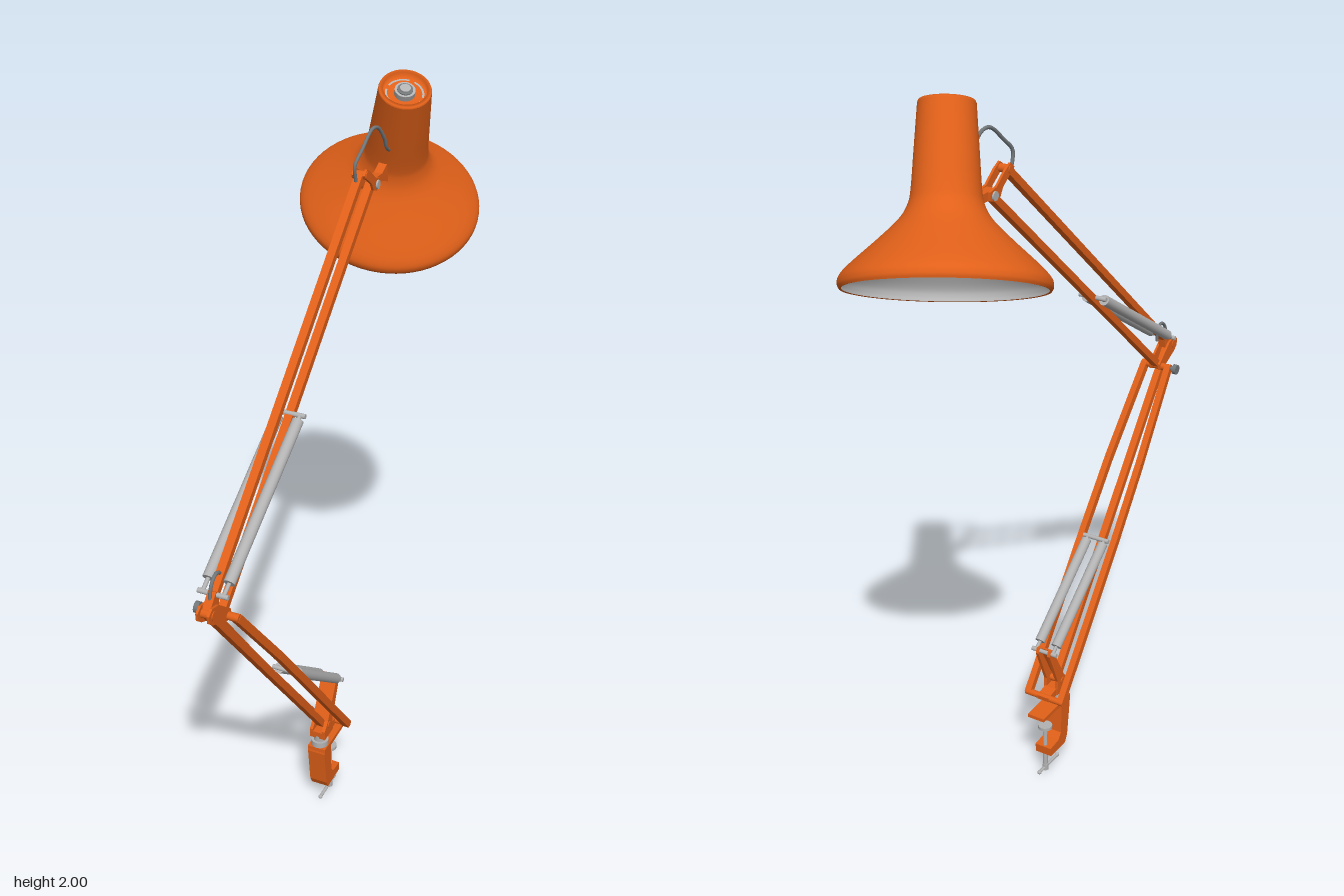
import * as THREE from 'three';

const CX = 0.039; // plane of the arm
const mat = (name, color, side = THREE.FrontSide) => {
  const m = new THREE.MeshStandardMaterial({ color, side });
  m.name = name;
  return m;
};
const V = (x, y, z) => new THREE.Vector3(CX + x, y, z);

export function createModel() {
  const lamp = new THREE.Group();
  lamp.name = 'deskLamp';
  const orange = mat('orangePaint', 0xe06019, THREE.DoubleSide);
  const inner = mat('shadeLining', 0xb2b2b2, THREE.DoubleSide);
  const steel = mat('springSteel', 0xb2b2b2);
  const dark = mat('greyMetal', 0x72777a);

  const add = (name, geo, material, parent = lamp) => {
    const m = new THREE.Mesh(geo, material);
    m.name = name;
    parent.add(m);
    return m;
  };
  // square bar between two points
  const bar = (name, a, b, w, h) => {
    const m = add(name, new THREE.BoxGeometry(w, h, a.distanceTo(b)), orange);
    m.position.copy(a).lerp(b, 0.5);
    m.lookAt(b);
  };
  // round rod between two points
  const rod = (name, a, b, r, material, sides = 20) => {
    const m = add(name, new THREE.CylinderGeometry(r, r, a.distanceTo(b), sides), material);
    m.position.copy(a).lerp(b, 0.5);
    m.quaternion.setFromUnitVectors(new THREE.Vector3(0, 1, 0), b.clone().sub(a).normalize());
  };
  // pin running across the arm
  const pin = (name, y, z, half, r, material) => rod(name, V(-half, y, z), V(half, y, z), r, material);
  // flat side plate from [z, y] corners, centred at x offset
  const plate = (name, pts, t, x = 0) => {
    const shape = new THREE.Shape(pts.map(p => new THREE.Vector2(p[0], p[1])));
    const geo = new THREE.ExtrudeGeometry(shape, { depth: t, bevelEnabled: false });
    geo.rotateY(-Math.PI / 2).translate(CX + x + t / 2, 0, 0);
    add(name, geo, orange);
  };
  const cable = (name, pts) => add(name, new THREE.TubeGeometry(
    new THREE.CatmullRomCurve3(pts), 32, 0.0045, 8), dark);

  // ---- table clamp
  plate('clampBody', [[0.072, 0.217], [0.075, 0.2], [0.06, 0.085], [0.048, 0.062], [-0.028, 0.062],
    [-0.03, 0.088], [0.012, 0.092], [0.026, 0.11], [0.03, 0.2], [0.03, 0.217]], 0.05);
  plate('clampTopJaw', [[0.074, 0.217], [0.074, 0.202], [-0.067, 0.204], [-0.067, 0.214]], 0.052);
  rod('clampScrew', V(0, 0.012, -0.018), V(0, 0.15, -0.018), 0.007, steel);
  rod('clampPad', V(0, 0.147, -0.018), V(0, 0.156, -0.018), 0.02, steel);
  rod('screwHub', V(0, 0.002, -0.018), V(0, 0.022, -0.018), 0.009, steel);
  rod('clampHandle', V(0, 0.01, 0.045), V(0, 0.01, -0.05), 0.0045, steel);
  for (const z of [0.045, -0.05]) {
    const end = add('handleEnd', new THREE.SphereGeometry(0.006, 14, 10), steel);
    end.position.copy(V(0, 0.01, z));
  }

  // ---- swivel base with a folded spring lever
  rod('swivelCollar', V(0, 0.216, 0.05), V(0, 0.234, 0.05), 0.024, steel, 28);
  rod('swivelPost', V(0, 0.23, 0.05), V(0, 0.252, 0.05), 0.017, steel, 28);
  plate('baseBlock', [[0.068, 0.268], [0.066, 0.246], [0, 0.243], [-0.028, 0.245], [-0.03, 0.258], [0.01, 0.266]], 0.036);
  for (const s of [-1, 1]) {
    plate('springLever', [[0.068, 0.275], [0.066, 0.246], [0.012, 0.246], [0.014, 0.29],
      [-0.029, 0.396], [-0.024, 0.41], [-0.012, 0.41], [0.046, 0.298]], 0.009, s * 0.018);
  }
  plate('springLeverWeb', [[-0.012, 0.41], [0.046, 0.298], [0.038, 0.298], [-0.02, 0.41]], 0.03);
  pin('baseHingePin', 0.252, -0.02, 0.06, 0.009, orange);
  pin('baseCentrePin', 0.282, 0.038, 0.025, 0.01, orange);
  pin('lowerSpringAnchor', 0.402, -0.02, 0.039, 0.006, steel);

  // ---- lower arm: one centre bar and a bowed outer pair
  bar('lowerCentreBar', V(0, 0.28, 0.04), V(0, 1.07, 0.655), 0.02, 0.018);
  const bow = [[0.052, 0.25, -0.02], [0.052, 0.62, 0.27], [0.049, 0.8, 0.41], [0.037, 1.03, 0.592]];
  for (const s of [-1, 1]) {
    for (let i = 0; i < 3; i++) {
      const [a, b] = [bow[i], bow[i + 1]].map(p => V(s * p[0], p[1], p[2]));
      bar('lowerOuterBar', a, b, 0.018, 0.02);
    }
  }

  // ---- elbow
  for (const s of [-1, 1]) {
    plate('elbowPlate', [[0.682, 1.085], [0.68, 1.065], [0.665, 1.052], [0.595, 1.018], [0.58, 1.022],
      [0.578, 1.04], [0.635, 1.088], [0.665, 1.096]], 0.006, s * 0.014);
  }
  pin('elbowOuterPin', 1.075, 0.66, 0.019, 0.011, orange);
  pin('elbowCrossPin', 1.03, 0.592, 0.045, 0.01, orange);
  rod('tensionKnobStem', V(-0.062, 1.03, 0.592), V(-0.04, 1.03, 0.592), 0.006, dark);
  rod('tensionKnob', V(-0.066, 1.03, 0.592), V(-0.054, 1.03, 0.592), 0.014, dark);
  plate('upperSpringTab', [[0.66, 1.09], [0.622, 1.075], [0.615, 1.108], [0.632, 1.118]], 0.02);
  pin('upperSpringAnchor', 1.108, 0.628, 0.038, 0.006, steel);

  // ---- upper arm
  bar('upperTopBar', V(0, 1.078, 0.655), V(0, 1.797, -0.175), 0.02, 0.018);
  bar('upperBottomBar', V(0, 1.035, 0.59), V(0, 1.752, -0.24), 0.02, 0.018);

  // ---- paired tension springs
  const spring = (name, [ay, az], [by, bz]) => {
    for (const s of [-1, 1]) {
      const a = V(s * 0.026, ay, az), b = V(s * 0.026, by, bz);
      rod(name + 'Hooks', a, b, 0.005, steel, 10);
      rod(name, a.clone().lerp(b, 0.07), a.clone().lerp(b, 0.97), 0.014, steel);
    }
    pin(name + 'Pin', by, bz, 0.04, 0.006, steel);
  };
  spring('lowerSpring', [0.402, -0.02], [0.625, 0.257]);
  spring('upperSpring', [1.108, 0.628], [1.357, 0.225]);

  // ---- head bracket joining the arm to the shade
  for (const s of [-1, 1]) {
    plate('headBracket', [[-0.162, 1.8], [-0.178, 1.812], [-0.2, 1.8], [-0.235, 1.772], [-0.262, 1.765],
      [-0.262, 1.745], [-0.24, 1.738], [-0.222, 1.745], [-0.21, 1.765]], 0.006, s * 0.014);
  }
  pin('headTopPin', 1.797, -0.178, 0.019, 0.01, orange);
  pin('headBottomPin', 1.753, -0.245, 0.021, 0.011, steel);
  plate('shadeMount', [[-0.235, 1.768], [-0.235, 1.744], [-0.29, 1.745], [-0.33, 1.73],
    [-0.35, 1.75], [-0.345, 1.79], [-0.29, 1.764]], 0.022);

  // ---- cables
  cable('headCable', [V(0, 1.79, -0.15), V(0, 1.83, -0.143), V(0.006, 1.86, -0.17), V(0.012, 1.897, -0.215),
    V(0.016, 1.895, -0.24), V(0.022, 1.86, -0.27), V(0.022, 1.83, -0.288), V(0.02, 1.81, -0.33)]);
  cable('elbowCable', [V(0, 1.09, 0.645), V(0, 1.135, 0.635), V(0, 1.151, 0.612),
    V(0, 1.14, 0.592), V(0, 1.105, 0.59)]);

  // ---- shade, built upright on its rim and then tilted
  const head = new THREE.Group();
  head.name = 'shadeHead';
  lamp.add(head);
  head.position.set(-0.003, 1.609, -0.477);
  head.quaternion.setFromUnitVectors(new THREE.Vector3(0, 1, 0), new THREE.Vector3(0.235, 0.889, 0.395).normalize());
  const v2 = pts => pts.map(p => new THREE.Vector2(p[0], p[1]));
  const skin = v2([[0.228, 0], [0.232, 0.01], [0.228, 0.027], [0.205, 0.053], [0.145, 0.108], [0.103, 0.15],
    [0.084, 0.182], [0.077, 0.215], [0.071, 0.3], [0.064, 0.403]]);
  const outer = new THREE.SplineCurve(skin).getPoints(48);
  add('shade', new THREE.LatheGeometry(outer, 64), orange, head);
  const lining = outer.filter(p => p.y < 0.3).map(p => new THREE.Vector2(p.x - 0.005, p.y + 0.001)).reverse();
  add('shadeLining', new THREE.LatheGeometry([new THREE.Vector2(0, 0.295), ...lining], 64), inner, head);
  add('shadeRim', new THREE.LatheGeometry(v2([[0.223, 0.001], [0.228, 0]]), 64), orange, head);
  const bulb = add('bulb', new THREE.SphereGeometry(0.064, 32, 20), inner, head);
  bulb.position.y = 0.13;
  add('bulbNeck', new THREE.CylinderGeometry(0.03, 0.04, 0.12, 24), inner, head).position.y = 0.23;

  // ---- vented cap on the neck
  add('capLip', new THREE.LatheGeometry(v2([[0.064, 0.403], [0.062, 0.408], [0.053, 0.408], [0.052, 0.39], [0, 0.39]]), 48), orange, head);
  for (let i = 0; i < 4; i++) {
    const slot = new THREE.RingGeometry(0.042, 0.047, 12, 1, i * Math.PI / 2 + 0.15, Math.PI / 2 - 0.3);
    add('capVent', slot.rotateX(-Math.PI / 2), steel, head).position.y = 0.392;
  }
  add('switchCollar', new THREE.CylinderGeometry(0.025, 0.025, 0.014, 28), steel, head).position.y = 0.397;
  add('switchRecess', new THREE.CylinderGeometry(0.019, 0.019, 0.004, 28), dark, head).position.y = 0.404;
  add('switchButton', new THREE.CylinderGeometry(0.013, 0.013, 0.014, 24), steel, head).position.y = 0.403;

  return lamp;
}
